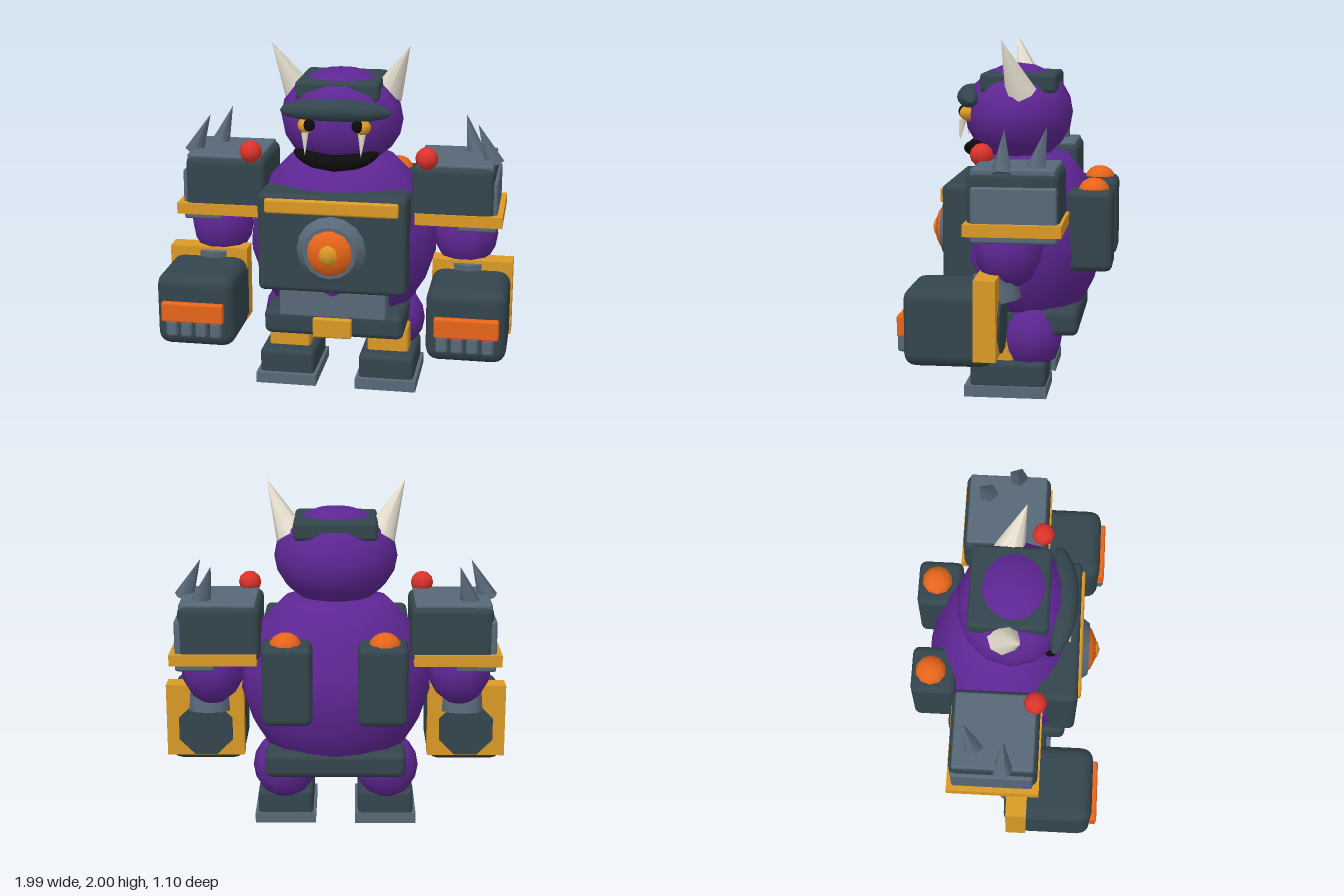
import * as THREE from 'three';
import { RoundedBoxGeometry } from 'three/addons/geometries/RoundedBoxGeometry.js';

const paint = (name, color) => {
  const m = new THREE.MeshStandardMaterial({ color });
  m.name = name;
  return m;
};

export function createModel() {
  const purple = paint('purple skin', 0x5e2694);
  const dark = paint('dark armour', 0x34454d);
  const steel = paint('steel', 0x586878);
  const gold = paint('gold trim', 0xdb9a26);
  const orange = paint('orange glow', 0xea661a);
  const red = paint('red lamp', 0xdc332b);
  const bone = paint('bone', 0xe6dfcf);
  const black = paint('black', 0x0b0b0b);

  const model = new THREE.Group();
  model.name = 'armouredBrute';
  const add = (name, geometry, material, parent = model) => {
    const mesh = new THREE.Mesh(geometry, material);
    mesh.name = name;
    parent.add(mesh);
    return mesh;
  };

  // Box given by its extents; radius 0 keeps sharp edges
  const box = (name, mat, [x0, x1], [y0, y1], [z0, z1], r = 0, parent = model) => {
    const s = [x1 - x0, y1 - y0, z1 - z0];
    const g = r ? new RoundedBoxGeometry(...s, 2, r) : new THREE.BoxGeometry(...s);
    g.translate((x0 + x1) / 2, (y0 + y1) / 2, (z0 + z1) / 2);
    return add(name, g, mat, parent);
  };
  const ball = (name, mat, pos, radii, parent = model, w = 10, h = 8) => {
    const g = new THREE.SphereGeometry(1, w, h);
    g.scale(...radii).translate(...pos);
    return add(name, g, mat, parent);
  };
  // Cone running from a base centre to a tip
  const spike = (name, mat, base, tip, r, sides, parent) => {
    const a = new THREE.Vector3(...base), d = new THREE.Vector3(...tip).sub(a);
    const len = d.length();
    const g = new THREE.ConeGeometry(r, len, sides).translate(0, len / 2, 0);
    g.applyQuaternion(new THREE.Quaternion().setFromUnitVectors(new THREE.Vector3(0, 1, 0), d.normalize()));
    g.translate(...a.toArray());
    return add(name, g, mat, parent);
  };
  // Blunt-ended ellipsoid curved around the face
  const bent = (name, mat, pos, [rx, ry, rz], power, bendY, bendZ) => {
    const g = new THREE.SphereGeometry(1, 16, 10).rotateZ(Math.PI / 2);
    const p = g.attributes.position;
    for (let i = 0; i < p.count; i++) {
      const u = p.getX(i);
      const x = Math.sign(u) * Math.abs(u) ** power * rx;
      p.setXYZ(i, x, p.getY(i) * ry + bendY * x * x, p.getZ(i) * rz - bendZ * x * x);
    }
    g.computeVertexNormals();
    g.translate(...pos);
    return add(name, g, mat);
  };

  // Torso
  const profile = [[0, 0.4], [0.32, 0.42], [0.41, 0.5], [0.485, 0.62], [0.545, 0.8],
    [0.53, 0.97], [0.435, 1.2], [0.3, 1.34], [0, 1.36]].map(([r, y]) => new THREE.Vector2(r, y));
  const torso = add('torso', new THREE.LatheGeometry(profile, 16), purple);
  torso.scale.z = 0.81;
  torso.position.z = -0.03;

  // Chest, belly and belt armour
  box('chestPlate', dark, [-0.42, 0.42], [0.64, 1.21], [0.16, 0.395], 0.035);
  box('chestBar', gold, [-0.375, 0.375], [1.1, 1.185], [0.34, 0.412], 0.015);
  box('bellyPlate', steel, [-0.305, 0.305], [0.48, 0.645], [0.1, 0.36], 0.015);
  box('belt', dark, [-0.4, 0.4], [0.36, 0.51], [-0.36, 0.345], 0.04);
  box('buckle', gold, [-0.11, 0.11], [0.37, 0.485], [0.3, 0.385], 0.01);

  // Chest reactor
  const ring = add('reactorRing', new THREE.CylinderGeometry(0.15, 0.21, 0.08, 16), steel);
  ring.rotation.x = Math.PI / 2;
  ring.position.set(0, 0.9, 0.415);
  ball('reactorGlow', orange, [0, 0.9, 0.42], [0.145, 0.145, 0.085]);
  ball('reactorCore', gold, [0, 0.9, 0.475], [0.065, 0.065, 0.045], model, 8, 6);

  // Head with skull band, brow and grin
  ball('head', purple, [0, 1.575, 0.015], [0.35, 0.282, 0.31], model, 14, 10);
  box('skullBand', dark, [-0.235, 0.235], [1.7, 1.81], [-0.22, 0.21], 0.025);
  bent('brow', dark, [0, 1.672, 0.295], [0.31, 0.062, 0.07], 0.8, -0.2, 0.5);
  bent('mouth', black, [0, 1.365, 0.265], [0.24, 0.046, 0.065], 0.55, 0.9, 0.7);

  // Paired parts are laid out on the +x side and mirrored by sign s
  for (const s of [1, -1]) {
    const side = new THREE.Group();
    side.name = s > 0 ? 'leftSide' : 'rightSide';
    model.add(side);
    const X = (a, b) => (s > 0 ? [a, b] : [-b, -a]);
    const b = (name, mat, x, y, z, r) => box(name, mat, X(...x), y, z, r, side);
    const o = (name, mat, [x, y, z], radii, w, h) => ball(name, mat, [s * x, y, z], radii, side, w, h);
    const c = (name, mat, p, q, r, n) => spike(name, mat, [s * p[0], p[1], p[2]], [s * q[0], q[1], q[2]], r, n, side);

    // Face
    o('eye', gold, [0.155, 1.58, 0.285], [0.05, 0.045, 0.05]);
    o('pupil', black, [0.135, 1.588, 0.315], [0.035, 0.035, 0.03], 8, 6);
    c('fang', bone, [0.158, 1.545, 0.315], [0.155, 1.42, 0.335], 0.022, 6);
    c('horn', bone, [0.25, 1.7, -0.025], [0.39, 2, 0.068], 0.09, 8);

    // Shoulder pad
    b('shoulderBlock', dark, [0.42, 0.88], [1.03, 1.345], [-0.295, 0.19], 0.04);
    b('shoulderCap', steel, [0.445, 0.872], [1.25, 1.358], [-0.275, 0.168], 0.012);
    b('shoulderOuterPlate', steel, [0.68, 0.9], [0.97, 1.265], [-0.285, 0.165], 0.015);
    b('shoulderRim', gold, [0.44, 0.93], [1.01, 1.075], [-0.312, 0.202], 0);
    o('shoulderLamp', red, [0.5, 1.385, 0.16], [0.065, 0.065, 0.065], 8, 6);
    c('outerSpike', steel, [0.87, 1.33, 0], [0.77, 1.555, 0], 0.06, 5);
    c('rearSpike', steel, [0.755, 1.34, -0.165], [0.69, 1.56, -0.215], 0.06, 5);

    // Arm and fist
    o('upperArm', purple, [0.715, 0.92, -0.015], [0.185, 0.215, 0.185]);
    const wrist = add('wrist', new THREE.CylinderGeometry(0.115, 0.125, 0.15, 10), steel, side);
    wrist.position.set(s * 0.74, 0.715, 0.05);
    wrist.rotation.x = 0.15;
    b('cuffPlate', gold, [0.54, 0.995], [0.365, 0.795], [0.02, 0.138], 0);
    b('fist', dark, [0.54, 0.985], [0.32, 0.74], [0.04, 0.515], 0.07);
    const socket = add('fistBack', new THREE.CylinderGeometry(0.17, 0.17, 0.03, 8), dark, side);
    socket.geometry.rotateY(Math.PI / 8).rotateX(Math.PI / 2);
    socket.position.set(s * 0.765, 0.53, 0.022);
    b('knuckleBar', orange, [0.59, 0.945], [0.475, 0.59], [0.47, 0.548], 0.012);
    for (let i = 0; i < 4; i++) {
      const x = 0.635 + i * 0.084;
      b('finger', steel, [x - 0.033, x + 0.033], [0.388, 0.485], [0.46, 0.55], 0.018);
    }

    // Leg and boot
    o('thigh', purple, [0.295, 0.35, -0.09], [0.185, 0.2, 0.18]);
    b('kneeGuard', gold, [0.17, 0.41], [0.2, 0.375], [0, 0.15], 0.02);
    b('boot', dark, [0.13, 0.45], [0.06, 0.22], [-0.185, 0.24], 0.03);
    b('sole', steel, [0.115, 0.467], [0.02, 0.083], [-0.19, 0.27], 0);
    b('tread', dark, [0.17, 0.41], [0, 0.04], [-0.13, 0.19], 0.015);

    // Back canister
    b('canister', dark, [0.125, 0.4], [0.73, 1.18], [-0.545, -0.29], 0.04);
    o('canisterLight', orange, [0.272, 1.165, -0.435], [0.09, 0.075, 0.09]);
  }
  return model;
}
